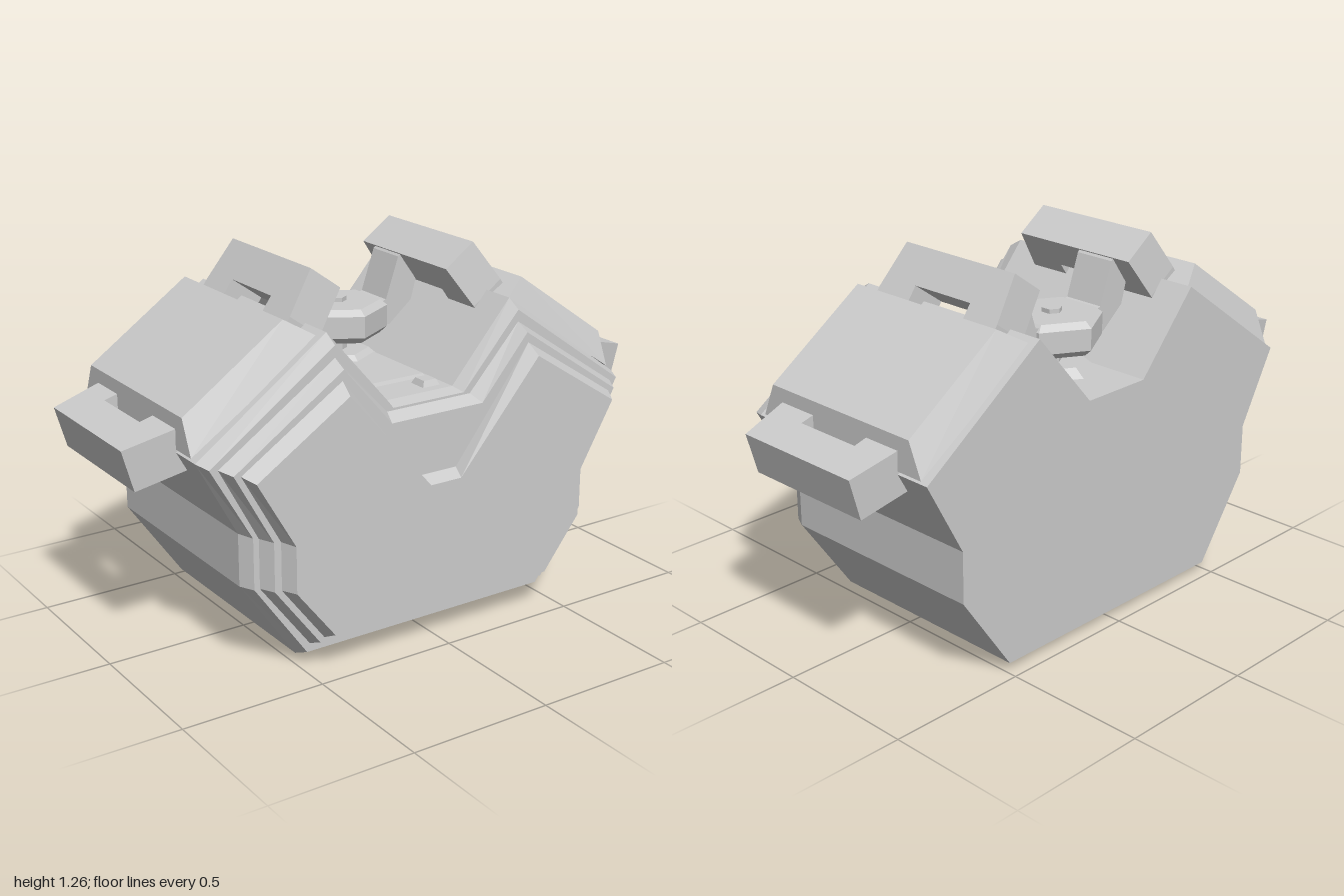
import * as THREE from 'three';
import { ConvexGeometry } from 'three/addons/geometries/ConvexGeometry.js';

const material = new THREE.MeshStandardMaterial({ color: 0xcccccc, flatShading: true, side: THREE.DoubleSide });
const V2 = (p) => new THREE.Vector2(p[0], p[1]);

// Skin a stack of outlines [points, z], back to front, and cap both ends
function loft(rings) {
  const n = rings[0][0].length, pos = [], idx = [];
  for (const [pts, z] of rings) for (const [x, y] of pts) pos.push(x, y, z);
  for (let r = 0; r < rings.length - 1; r++) {
    for (let i = 0; i < n; i++) {
      const a = r * n + i, b = r * n + (i + 1) % n;
      idx.push(a, b, b + n, a, b + n, a + n);
    }
  }
  const last = (rings.length - 1) * n;
  for (const [a, b, c] of THREE.ShapeUtils.triangulateShape(rings[0][0].map(V2), [])) idx.push(a, c, b);
  for (const [a, b, c] of THREE.ShapeUtils.triangulateShape(rings.at(-1)[0].map(V2), [])) {
    idx.push(last + a, last + b, last + c);
  }
  const g = new THREE.BufferGeometry();
  g.setAttribute('position', new THREE.Float32BufferAttribute(pos, 3));
  g.setIndex(idx);
  const flat = g.toNonIndexed();
  flat.computeVertexNormals();
  return flat;
}

// Tapered block between two horizontal rectangles [x0, x1, z0, z1, y]
function frustum(...rects) {
  const pts = [];
  for (const [x0, x1, z0, z1, y] of rects) {
    for (const x of [x0, x1]) for (const z of [z0, z1]) pts.push(new THREE.Vector3(x, y, z));
  }
  return new ConvexGeometry(pts);
}

// Mirror across x = 0, keeping faces outward
function mirrored(geometry) {
  const g = geometry.index ? geometry.toNonIndexed() : geometry.clone();
  g.scale(-1, 1, 1);
  const p = g.attributes.position;
  const a = new THREE.Vector3(), b = new THREE.Vector3();
  for (let i = 0; i < p.count; i += 3) {
    a.fromBufferAttribute(p, i + 1);
    b.fromBufferAttribute(p, i + 2);
    p.setXYZ(i + 1, b.x, b.y, b.z);
    p.setXYZ(i + 2, a.x, a.y, a.z);
  }
  g.computeVertexNormals();
  return g;
}

// U-shaped manifold: two legs and a tapered bar, reaching from (x, y) along (ux, uy)
function manifold(x, y, ux, uy, thickness) {
  const shape = new THREE.Shape([
    [-0.02, -0.34], [0.02, -0.34], [0.187, -0.32], [0.187, 0.17], [0.02, 0.2], [-0.02, 0.2],
    [-0.02, 0.05], [0.058, 0.05], [0.058, -0.2], [-0.02, -0.2],
  ].map(V2));
  const g = new THREE.ExtrudeGeometry(shape, { depth: thickness, bevelEnabled: false });
  const l = Math.hypot(ux, uy);
  ux /= l;
  uy /= l;
  g.applyMatrix4(new THREE.Matrix4().makeBasis(
    new THREE.Vector3(ux, uy, 0), new THREE.Vector3(0, 0, 1), new THREE.Vector3(uy, -ux, 0),
  ).setPosition(x, y, 0));
  return g;
}

export function createModel() {
  const model = new THREE.Group();
  model.name = 'engine';
  const add = (name, geometry, x = 0, y = 0, z = 0, parent = model) => {
    const m = new THREE.Mesh(geometry, material);
    m.name = name;
    m.position.set(x, y, z);
    parent.add(m);
    return m;
  };
  const addPair = (name, geometry) => {
    add(name + 'Left', geometry);
    add(name + 'Right', mirrored(geometry));
  };

  // V-shaped block with stepped, chamfered front covers
  const outline = (half) => [...half, ...half.map(([x, y]) => [-x, y]).reverse()];
  const body = outline([[0.49, 0.03], [0.69, 0.32], [0.69, 0.5], [0.83, 0.76], [0.36, 1.095], [0.13, 0.83]]);
  add('engineBlock', loft([
    [body, -0.465],
    [body, 0.32],
    [outline([[0.475, 0.05], [0.665, 0.32], [0.665, 0.495], [0.81, 0.75], [0.36, 1.065], [0.14, 0.82]]), 0.37],
    [outline([[0.465, 0.08], [0.645, 0.32], [0.645, 0.49], [0.78, 0.745], [0.36, 1.025], [0.165, 0.812]]), 0.37],
    [outline([[0.455, 0.1], [0.62, 0.32], [0.62, 0.488], [0.755, 0.735], [0.36, 1.0], [0.18, 0.79]]), 0.42],
    [outline([[0.44, 0.115], [0.595, 0.32], [0.595, 0.485], [0.73, 0.73], [0.365, 0.965], [0.075, 0.59]]), 0.42],
    [outline([[0.43, 0.14], [0.57, 0.32], [0.57, 0.48], [0.705, 0.715], [0.37, 0.93], [0.06, 0.57]]), 0.47],
  ]));

  // Shallow pan below
  add('oilPan', frustum([-0.47, 0.47, -0.445, 0.3, 0.03], [-0.435, 0.435, -0.415, 0.27, 0]));

  // Sloped valve covers, bevelled at the ends and inner edge
  const cover = [];
  for (const [x, y, z0, z1] of [
    [0.37, 1.075, -0.44, 0.295], [0.83, 0.77, -0.44, 0.295],
    [0.47, 1.135, -0.39, 0.245], [0.83, 0.885, -0.39, 0.245],
  ]) cover.push(new THREE.Vector3(x, y, z0), new THREE.Vector3(x, y, z1));
  addPair('valveCover', new ConvexGeometry(cover));

  // Manifolds on the outer and inner sides of each bank
  addPair('exhaustManifold', manifold(0.82, 0.84, 0.18, -0.05, 0.146));
  addPair('intakeManifold', manifold(0.318, 1.029, -0.58, 0.81, 0.136));

  // Bent arms joining the carburetor to the intakes
  const arm = new THREE.Shape([
    [0.12, 0.935], [0.17, 0.935], [0.26, 1.01], [0.285, 1.1], [0.22, 1.185], [0.205, 1.17], [0.155, 1.025], [0.12, 1.015],
  ].map(V2));
  const armGeometry = new THREE.ExtrudeGeometry(arm, { depth: 0.15, bevelEnabled: false });
  armGeometry.translate(0, 0, -0.25);
  addPair('intakeArm', armGeometry);

  // Six-sided carburetor: foot, stem, chamfered body and cap
  const carburetor = new THREE.Group();
  carburetor.name = 'carburetor';
  carburetor.position.z = -0.175;
  model.add(carburetor);
  for (const [name, top, bottom, y0, y1] of [
    ['foot', 0.11, 0.145, 0.83, 0.86],
    ['stem', 0.035, 0.035, 0.85, 0.92],
    ['lowerChamfer', 0.175, 0.15, 0.912, 0.935],
    ['body', 0.175, 0.175, 0.935, 1.01],
    ['upperChamfer', 0.15, 0.175, 1.01, 1.03],
    ['cap', 0.035, 0.035, 1.03, 1.045],
  ]) add(name, new THREE.CylinderGeometry(top, bottom, y1 - y0, 6), 0, (y0 + y1) / 2, 0, carburetor);

  // Valley plate and small bevelled sensor
  add('valleyPlate', frustum([-0.118, 0.118, -0.15, 0.192, 0.825], [-0.11, 0.11, -0.15, 0.184, 0.842]));
  add('sensor', frustum([0.035, 0.107, 0.215, 0.288, 0.825], [0.047, 0.095, 0.227, 0.276, 0.85]));

  return model;
}
